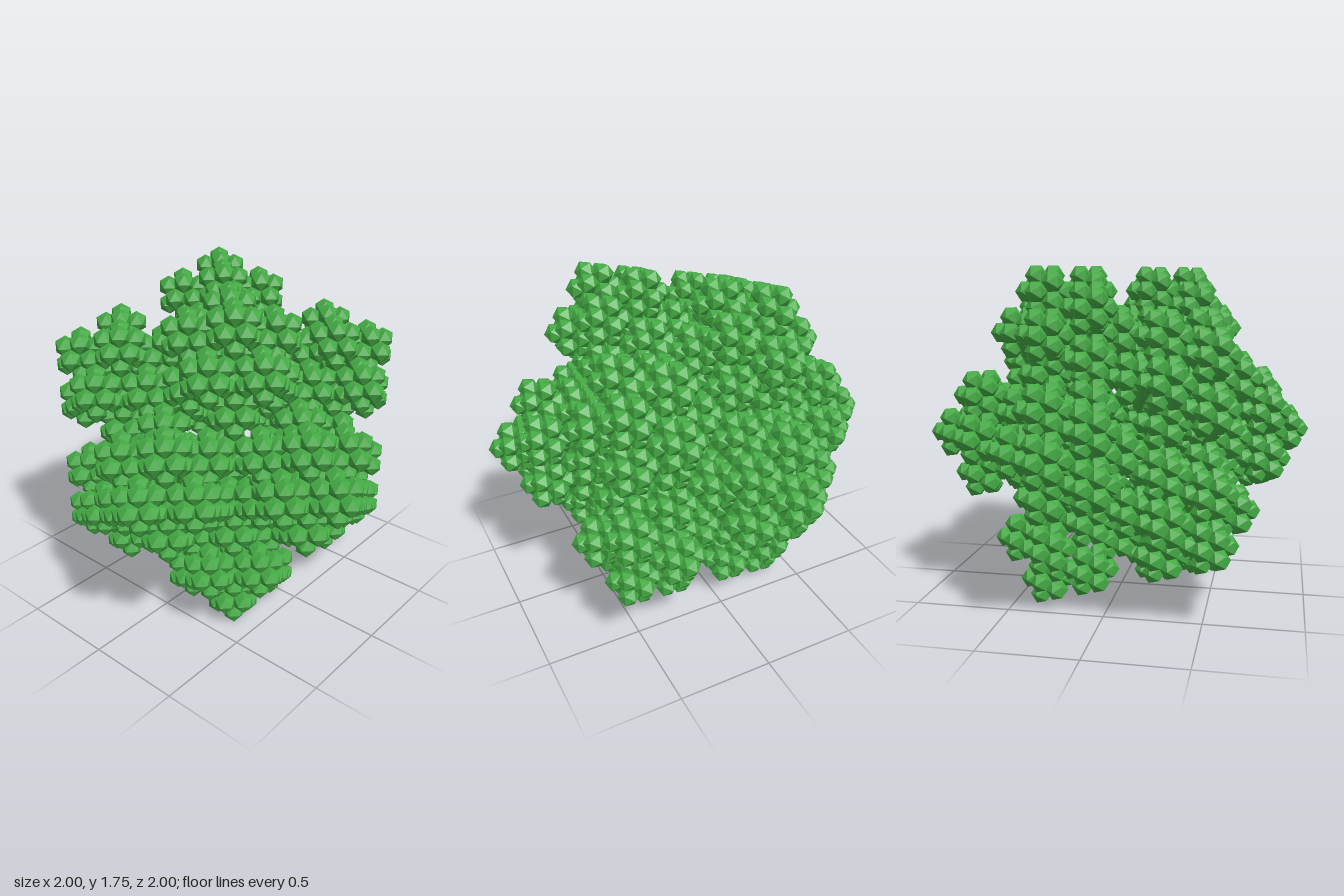
import * as THREE from 'three';
import { mergeGeometries } from 'three/addons/utils/BufferGeometryUtils.js';

const PHI = (1 + Math.sqrt(5)) / 2;
const UNIT = Math.SQRT2 / (PHI * PHI);            // half edge of the overall icosahedron
const RADIUS = UNIT * Math.sqrt(1 + PHI * PHI);   // its circumradius
const SCALE = 1 / (1 + PHI);                      // neighbouring copies share an edge
const DEPTH = 3;

// The twelve corners of the overall icosahedron
function icosahedronCorners() {
  const corners = [];
  for (const a of [-UNIT, UNIT]) {
    for (const b of [-UNIT * PHI, UNIT * PHI]) {
      corners.push(
        new THREE.Vector3(a, b, 0),
        new THREE.Vector3(0, a, b),
        new THREE.Vector3(b, 0, a)
      );
    }
  }
  return corners;
}

export function createModel() {
  const group = new THREE.Group();
  group.name = 'icosahedronFractal';
  const material = new THREE.MeshStandardMaterial({ color: 0x44aa44, flatShading: true });
  const corners = icosahedronCorners();

  // Each level puts a shrunken copy of the previous one in every corner
  const shrink = (geometry, corner) => {
    const offset = corner.clone().multiplyScalar(1 - SCALE);
    return geometry.clone().scale(SCALE, SCALE, SCALE).translate(offset.x, offset.y, offset.z);
  };
  let cluster = new THREE.IcosahedronGeometry(RADIUS, 0);
  for (let level = 1; level < DEPTH; level++) {
    cluster = mergeGeometries(corners.map((corner) => shrink(cluster, corner)));
  }

  // The last level stays as twelve separate clusters
  corners.forEach((corner, i) => {
    const mesh = new THREE.Mesh(shrink(cluster, corner), material);
    mesh.name = `cornerCluster${i + 1}`;
    group.add(mesh);
  });

  // Stand on the ground, turned an eighth of a turn
  group.rotation.y = -Math.PI / 4;
  group.position.y = UNIT * PHI;
  return group;
}
